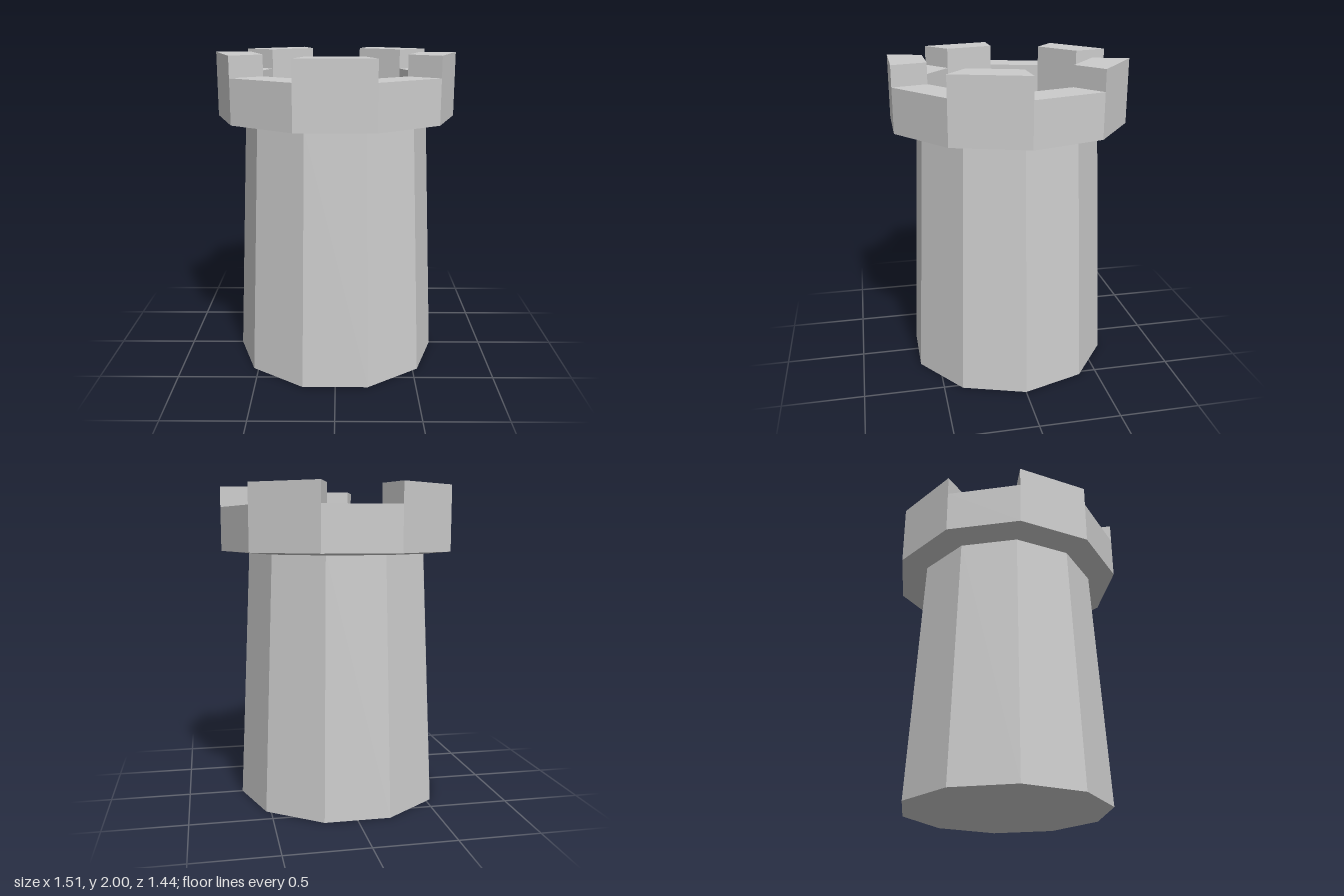
import * as THREE from 'three';

const SIDES = 10;
const STEP = (Math.PI * 2) / SIDES;
const OUTER = 0.755, INNER = 0.53;
const TOP = 2, GAP = 1.873, FLOOR = 1.66;

const stone = new THREE.MeshStandardMaterial({ color: 0xcccccc, flatShading: true });

function addMesh(parent, name, geometry) {
  const mesh = new THREE.Mesh(geometry, stone);
  mesh.name = name;
  parent.add(mesh);
  return mesh;
}

// Turns a profile of [radius, height] pairs; sides are counted from +x towards +z
function turn(profile, firstSide = 0, sides = SIDES) {
  const points = profile.map(([r, y]) => new THREE.Vector2(r, y));
  return new THREE.LatheGeometry(points, sides, Math.PI / 2 - (firstSide + sides) * STEP, sides * STEP);
}

export function createModel() {
  const tower = new THREE.Group();
  tower.name = 'tower';

  // Tapered shaft with closed base, and the slightly sloping overhang
  addMesh(tower, 'shaft', turn([[0, 0], [0.655, 0], [0.58, 1.585]]));
  addMesh(tower, 'overhang', turn([[0.58, 1.585], [OUTER, 1.6]]));

  // Sunken roof floor
  addMesh(tower, 'roofFloor', turn([[INNER, FLOOR], [0, FLOOR]]));

  // Parapet: tall and low sections alternate around the ring
  for (let i = 0; i < SIDES; i++) {
    const tall = i % 2 === 0;
    const top = tall ? TOP : GAP;
    const section = new THREE.Group();
    section.name = tall ? 'merlon' : 'crenel';
    addMesh(section, 'wall', turn([[OUTER, 1.6], [OUTER, top], [INNER, top], [INNER, FLOOR]], i, 1));

    // End faces of the tall sections above the gaps
    if (tall) {
      for (const end of [0, 1]) {
        const face = new THREE.PlaneGeometry(OUTER - INNER, TOP - GAP);
        if (end === 0) face.rotateY(Math.PI);
        face.translate((OUTER + INNER) / 2, (TOP + GAP) / 2, 0);
        face.rotateY(-(i + end) * STEP);
        addMesh(section, 'endFace', face);
      }
    }
    tower.add(section);
  }
  return tower;
}
